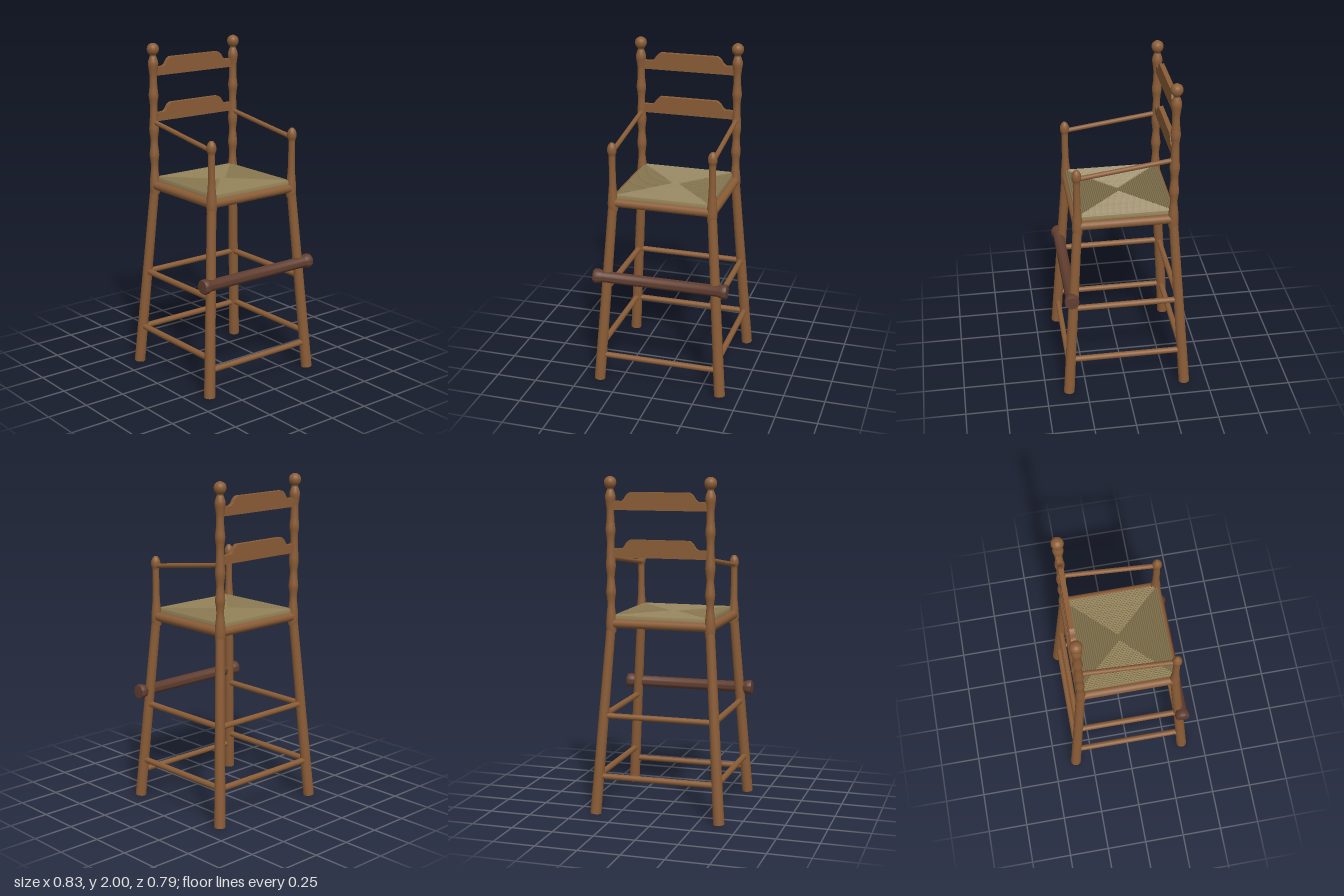
import * as THREE from 'three';
import { toCreasedNormals } from 'three/addons/utils/BufferGeometryUtils.js';

const material = (name, color) => Object.assign(new THREE.MeshStandardMaterial({ color }), { name });

export function createModel() {
  const wood = material('turned wood', 0x8a5c36);
  const darkWood = material('dark footrest wood', 0x613e30);
  const rush = material('woven rush', 0x8f7e55);
  const rushBase = material('shaded rush', 0x6c5f42);
  const root = new THREE.Group();
  root.name = 'highChair';
  const V = (x, y, z) => new THREE.Vector3(x, y, z);

  function add(name, geometry, mat = wood, parent = root) {
    const mesh = new THREE.Mesh(geometry, mat);
    mesh.name = name;
    parent.add(mesh);
    return mesh;
  }

  // Round bar between two points
  function rod(name, a, b, r0, r1 = r0, mat = wood) {
    const mesh = add(name, new THREE.CylinderGeometry(r1, r0, a.distanceTo(b), 20), mat);
    mesh.position.copy(a).add(b).multiplyScalar(0.5);
    mesh.quaternion.setFromUnitVectors(V(0, 1, 0), b.clone().sub(a).normalize());
    return mesh;
  }

  // Smooth turned profile from [radius, height] pairs
  function turned(points) {
    const curve = new THREE.SplineCurve(points.map(p => new THREE.Vector2(...p)));
    const profile = curve.getPoints(points.length * 4);
    profile.forEach(p => { p.x = Math.max(p.x, 0); });
    profile.push(new THREE.Vector2(0, profile[profile.length - 1].y));
    return new THREE.LatheGeometry(profile, 24);
  }

  // Splayed leg centre line
  const legX = y => 0.38 - 0.08 * y / 1.14;
  const legZ = y => 0.36 - 0.08 * y / 1.14;

  const backPost = turned([
    [0.028, 1.09], [0.031, 1.13], [0.029, 1.18], [0.022, 1.25], [0.024, 1.29], [0.029, 1.33],
    [0.024, 1.38], [0.022, 1.42], [0.029, 1.48], [0.026, 1.53], [0.022, 1.61], [0.024, 1.65],
    [0.029, 1.69], [0.024, 1.74], [0.022, 1.80], [0.026, 1.84], [0.031, 1.88], [0.024, 1.91],
    [0.018, 1.928], [0.031, 1.945], [0.036, 1.966], [0.029, 1.987], [0.010, 2.0],
  ]);
  const frontPost = turned([
    [0.028, 1.09], [0.031, 1.13], [0.028, 1.18], [0.022, 1.25], [0.020, 1.34], [0.020, 1.41],
    [0.021, 1.435], [0.027, 1.455], [0.027, 1.478], [0.020, 1.497], [0.009, 1.51],
  ]);

  // Legs, posts, arms and side bars
  for (const [side, s] of [['left', 1], ['right', -1]]) {
    for (const [end, e] of [['Front', 1], ['Back', -1]]) {
      rod(side + end + 'Leg', V(s * legX(0), 0.003, e * legZ(0)), V(s * 0.3, 1.14, e * 0.28), 0.033, 0.027);
      add(side + end + 'Post', e > 0 ? frontPost : backPost).position.set(s * 0.3, 0, e * 0.28);
    }
    rod(side + 'Arm', V(s * 0.3, 1.452, 0.28), V(s * 0.3, 1.532, -0.28), 0.014);
    rod(side + 'SeatRail', V(s * 0.3, 1.144, -0.28), V(s * 0.3, 1.144, 0.28), 0.027);
    for (const y of [0.235, 0.595]) {
      rod(side + 'Stretcher', V(s * legX(y), y, -legZ(y)), V(s * legX(y), y, legZ(y)), 0.018);
    }
  }

  // Bars running across the front and back
  const crossBars = [
    ['frontSeatRail', 1.144, 1, 0.027], ['backSeatRail', 1.144, -1, 0.027],
    ['frontStretcher', 0.165, 1, 0.017], ['backLowerStretcher', 0.23, -1, 0.018],
    ['backUpperStretcher', 0.595, -1, 0.017],
  ];
  for (const [name, y, e, r] of crossBars) {
    rod(name, V(-legX(y), y, e * legZ(y)), V(legX(y), y, e * legZ(y)), r);
  }

  // Backrest slats with a raised centre
  const slat = new THREE.Shape();
  slat.moveTo(-0.29, 0);
  slat.lineTo(0.29, 0);
  slat.lineTo(0.29, 0.052);
  slat.lineTo(0.232, 0.052);
  slat.quadraticCurveTo(0.215, 0.058, 0.205, 0.078);
  slat.quadraticCurveTo(0.195, 0.096, 0.175, 0.104);
  slat.lineTo(-0.175, 0.104);
  slat.quadraticCurveTo(-0.195, 0.096, -0.205, 0.078);
  slat.quadraticCurveTo(-0.215, 0.058, -0.232, 0.052);
  slat.lineTo(-0.29, 0.052);
  const slatGeometry = new THREE.ExtrudeGeometry(slat, { depth: 0.028, bevelEnabled: false, curveSegments: 5 });
  add('lowerSlat', slatGeometry).position.set(0, 1.534, -0.297);
  add('upperSlat', slatGeometry).position.set(0, 1.807, -0.297);

  // Footrest bar with thicker rounded ends
  const half = [[0.034, 0], [0.034, 0.355], [0.038, 0.365], [0.044, 0.382], [0.044, 0.4], [0.040, 0.409], [0, 0.41]];
  const barProfile = [...half.slice(1).reverse().map(([r, y]) => [r, -y]), ...half]
    .map(p => new THREE.Vector2(...p));
  const footrest = add('footrest', toCreasedNormals(new THREE.LatheGeometry(barProfile, 28), 0.7), darkWood);
  footrest.rotation.z = Math.PI / 2;
  footrest.position.set(0, 0.68, 0.331);

  // Seat base
  add('seatBase', new THREE.BoxGeometry(0.566, 0.044, 0.566), rushBase).position.y = 1.16;

  // Woven seat: rope ridges swept around a square, stretched near the middle
  const rings = 24, steps = 6, outer = 0.286;
  const ridges = [new THREE.Vector2(outer, 1.165)];
  for (let i = 0; i < rings * steps; i++) {
    const t = i / (rings * steps);
    ridges.push(new THREE.Vector2(outer * (1 - t), 1.183 + 0.012 * Math.abs(Math.sin(t * rings * Math.PI))));
  }
  const weave = new THREE.LatheGeometry(ridges, 4);
  weave.rotateY(Math.PI / 4).scale(Math.SQRT2, 1, Math.SQRT2);
  const p = weave.attributes.position;
  for (let i = 0; i < p.count; i++) {
    const x = p.getX(i);
    p.setX(i, x + Math.sign(x) * 0.018 * (1 - Math.abs(x) / outer));
  }
  add('wovenSeat', toCreasedNormals(weave, 0.8), rush);

  return root;
}
